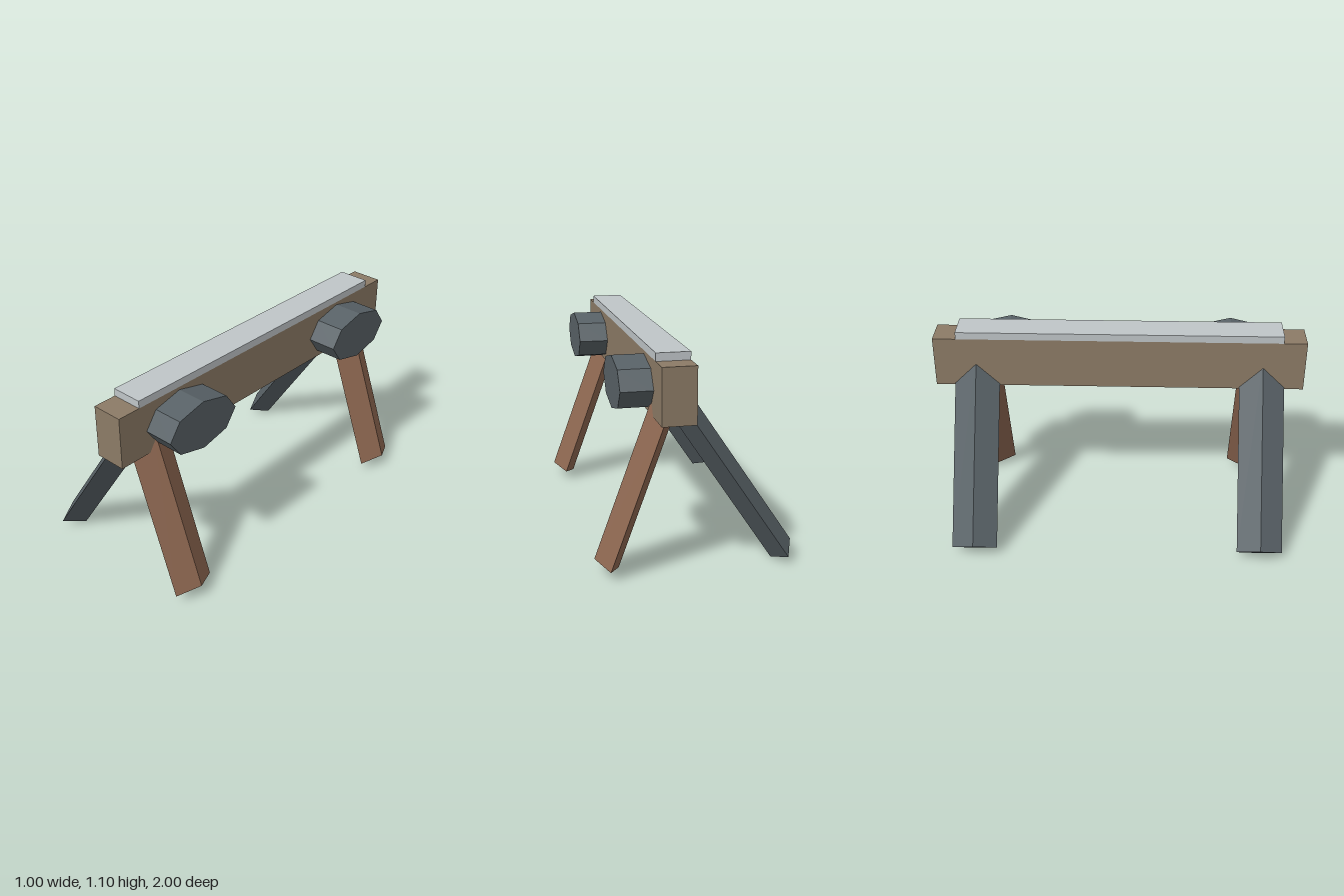
import * as THREE from 'three';

const paint = (color) => new THREE.MeshStandardMaterial({ color, flatShading: true });

export function createModel() {
  const model = new THREE.Group();
  const wood = paint(0x8c7b66);
  const brown = paint(0x8c6650);
  const slate = paint(0x586166);
  const pale = paint(0xbfc5c8);

  const add = (name, geometry, material, x = 0, y = 0, z = 0) => {
    const mesh = new THREE.Mesh(geometry, material);
    mesh.name = name;
    mesh.position.set(x, y, z);
    model.add(mesh);
  };

  // Diamond-section leg, sheared from foot to top; tip is the offset of its lower/outer corner
  const legGeometry = (foot, top, tip) => {
    const geometry = new THREE.CylinderGeometry(1, 1, 1, 4, 1).toNonIndexed();
    const p = geometry.attributes.position;
    for (let i = 0; i < p.count; i++) {
      const t = p.getY(i) + 0.5;
      const u = p.getX(i);
      p.setXYZ(
        i,
        foot[0] + (top[0] - foot[0]) * t + tip[0] * u,
        foot[1] + (top[1] - foot[1]) * t + tip[1] * u,
        p.getZ(i) * 0.122
      );
    }
    geometry.computeVertexNormals();
    return geometry;
  };

  // Long beam with a thin plate on top
  add('beam', new THREE.BoxGeometry(0.167, 0.278, 2), wood, 0.133, 0.921, 0);
  add('topPlate', new THREE.BoxGeometry(0.167, 0.04, 1.75), pale, 0.133, 1.08, 0);

  // Legs and eight-sided side pads, mirrored front to back
  const slateLeg = legGeometry([-0.45, 0.045], [0.13, 0.91], [0.05, -0.045]);
  const brownLeg = legGeometry([0.44, 0.0475], [0.13, 0.897], [0.06, 0.0275]);
  const pad = new THREE.CylinderGeometry(1, 1, 0.16, 8)
    .rotateZ(-Math.PI / 2)
    .scale(1, 0.131, 0.223);
  for (const [end, s] of [['front', 1], ['back', -1]]) {
    add(end + 'RightLeg', slateLeg, slate, 0, 0, s * 0.775);
    add(end + 'LeftLeg', brownLeg, brown, 0, 0, s * 0.775);
    add(end + 'SidePad', pad, slate, 0.296, 0.913, s * 0.612);
  }

  return model;
}
